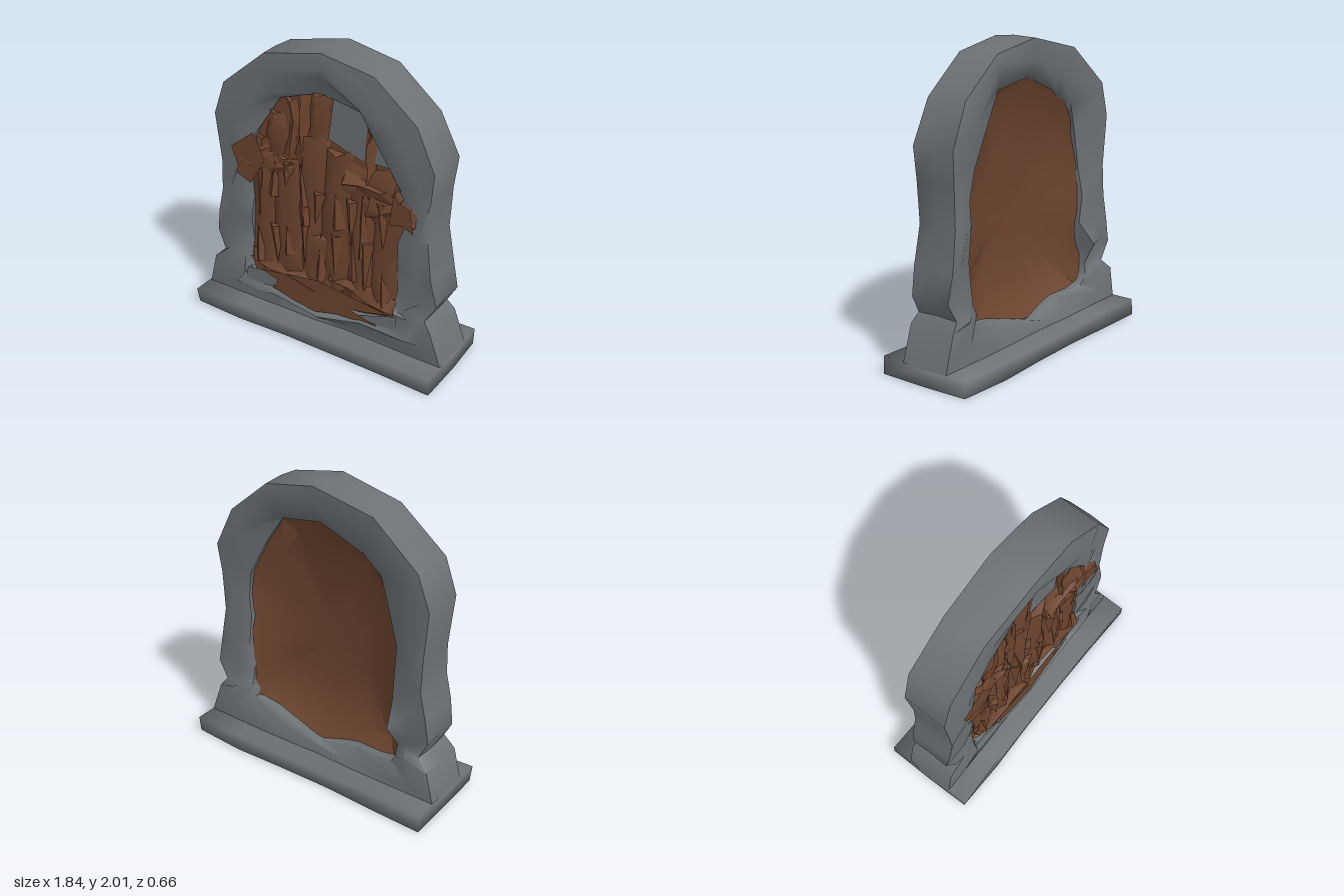
import * as THREE from 'three';
import { toCreasedNormals } from 'three/addons/utils/BufferGeometryUtils.js';

const stone = new THREE.MeshStandardMaterial({ color: 0x6c7174 });
stone.name = 'grey stone';
const wood = new THREE.MeshStandardMaterial({ color: 0x6c442e, side: THREE.DoubleSide });
wood.name = 'brown wood';

// repeatable noise in -1..1 from a position
function noise(x, y, z, seed) {
  const r = (v) => Math.round(v * 1000) / 1000 + 0;
  const s = Math.sin(r(x) * 127.1 + r(y) * 311.7 + r(z) * 74.7 + seed * 19.3) * 43758.5453;
  return (s - Math.floor(s)) * 2 - 1;
}

// push shared corners about by the same amounts, so surfaces stay closed
function roughen(geo, ax, ay, az, seed = 0) {
  const p = geo.attributes.position;
  for (let i = 0; i < p.count; i++) {
    const x = p.getX(i), y = p.getY(i), z = p.getZ(i);
    p.setXYZ(i, x + ax * noise(x, y, z, seed), y + ay * noise(x, y, z, seed + 1), z + az * noise(x, y, z, seed + 2));
  }
  return geo;
}

function addMesh(group, geo, mat, name, crease) {
  const mesh = new THREE.Mesh(toCreasedNormals(geo, crease), mat);
  mesh.name = name;
  group.add(mesh);
}

// grid of rings; rows[i][j] are points
function loft(rows, closed) {
  const n = rows.length, m = rows[0].length, index = [];
  for (let i = 0; i < (closed ? n : n - 1); i++) {
    for (let j = 0; j < (closed ? m : m - 1); j++) {
      const i2 = (i + 1) % n, j2 = (j + 1) % m;
      const a = i * m + j, b = i2 * m + j, c = i2 * m + j2, d = i * m + j2;
      index.push(a, d, c, a, c, b);
    }
  }
  const geo = new THREE.BufferGeometry();
  geo.setAttribute('position', new THREE.Float32BufferAttribute(rows.flat(2), 3));
  geo.setIndex(index);
  return geo;
}

// arch outline, clockwise from bottom left: outer x, y, inner x, y
const ARCH = [
  [-0.91, 0.11, -0.56, 0.27], [-0.86, 0.33, -0.57, 0.34], [-0.78, 0.4, -0.58, 0.42],
  [-0.85, 0.53, -0.57, 0.55], [-0.82, 0.7, -0.55, 0.72], [-0.78, 0.87, -0.54, 0.88],
  [-0.78, 1.08, -0.55, 1.08], [-0.81, 1.42, -0.5, 1.34], [-0.73, 1.65, -0.41, 1.5],
  [-0.41, 1.91, -0.32, 1.63], [0.02, 2.0, 0, 1.74], [0.38, 1.93, 0.31, 1.69],
  [0.67, 1.69, 0.42, 1.5], [0.8, 1.42, 0.57, 1.24], [0.78, 1.22, 0.59, 1.1],
  [0.77, 0.95, 0.58, 0.92], [0.81, 0.7, 0.57, 0.7], [0.85, 0.52, 0.56, 0.53],
  [0.78, 0.4, 0.56, 0.42], [0.83, 0.34, 0.55, 0.36], [0.91, 0.11, 0.53, 0.31],
  [0.35, 0.1, 0.3, 0.26], [0, 0.1, 0, 0.2], [-0.35, 0.1, -0.3, 0.25],
];
// arch section: share of the way from outer to inner edge, z, roughness
const SECTION = [
  [0, 0.145, 0], [0.4, 0.155, 1], [0.75, 0.15, 1], [1, 0.125, 0.3],
  [1.03, 0.02, 0.5], [0.95, -0.1, 0.5], [0.5, -0.145, 1], [0, -0.145, 0], [0, 0, 0.2],
];

function archGeometry() {
  return loft(ARCH.map(([ox, oy, ix, iy], i) => SECTION.map(([t, z, rough], j) => {
    const flare = oy < 0.35 ? 1.15 : 1;
    const spike = i === 3 && j === 5 ? -0.09 : 0;
    return [
      ox + (ix - ox) * t + 0.05 * rough * noise(i, j, 0, 1),
      oy + (iy - oy) * t + 0.05 * rough * noise(i, j, 0, 2),
      z * flare + (0.01 + 0.014 * rough) * noise(i, j, 0, 3) + spike,
    ];
  })), true);
}

// hollow wooden back, dished towards the front, with a ridge down its upper half
function backGeometry() {
  const rings = [[1.03, -0.08], [0.86, 0.01], [0.48, 0.065], [0.001, 0.07]];
  return loft(rings.map(([k, z], r) => [...ARCH, ARCH[0]].map(([, , x, y], i) => {
    const fold = r === 1 || r === 2 ? 0.015 * noise(Math.floor((i % ARCH.length) / 3), r, 0, 8) : 0;
    const ridge = i === 10 && r > 0 && r < 3 ? -0.04 : 0;
    return [x * k, 0.9 + (y - 0.9) * k, z + fold + ridge];
  })), false);
}

function plate(points, z) {
  const shape = new THREE.Shape(points.map(([x, y]) => new THREE.Vector2(x, y)));
  return new THREE.ShapeGeometry(shape).translate(0, 0, z);
}

// warped plank with a raised ridge along its middle
function plank(x0, x1, y0, y1, front, seed, tilt = 0) {
  const w = x1 - x0, h = y1 - y0, across = w > h;
  const geo = new THREE.BoxGeometry(w, h, 0.06, across ? 3 : 2, across ? 2 : 4, 1);
  const p = geo.attributes.position;
  for (let i = 0; i < p.count; i++) {
    const edge = across ? Math.abs(p.getY(i)) / (h / 2) : Math.abs(p.getX(i)) / (w / 2);
    if (p.getZ(i) > 0) p.setZ(i, 0.03 - 0.045 * edge);
  }
  roughen(geo, 0.03, 0.035, 0.014, seed);
  geo.rotateZ(tilt);
  return geo.translate((x0 + x1) / 2, (y0 + y1) / 2, front - 0.035);
}

export function createModel() {
  const model = new THREE.Group();
  model.name = 'stoneArchDoor';

  // base slab
  const slab = roughen(new THREE.BoxGeometry(1.83, 0.105, 0.635, 5, 1, 2), 0.008, 0.006, 0.012, 4);
  addMesh(model, slab.translate(0, 0.059, 0), stone, 'baseSlab', 1.75);

  // stone arch with sill
  addMesh(model, archGeometry(), stone, 'stoneArch', 1.0);

  // door: dished rear, flat backing and planks
  const door = new THREE.Group();
  door.name = 'door';
  model.add(door);
  addMesh(door, backGeometry(), wood, 'doorBack', 0.6);
  const panel = plate(ARCH.map(([, , x, y]) => [x * 1.03, 0.9 + (y - 0.9) * 1.03]), 0.105);
  addMesh(door, panel, wood, 'doorPanel', 0.5);

  const planks = [
    [-0.54, -0.35, 0.36, 1.12], [-0.38, -0.14, 0.32, 1.25], [-0.18, 0.03, 0.4, 1.42],
    [0, 0.21, 0.4, 1.38], [0.18, 0.37, 0.38, 1.22], [0.35, 0.58, 0.38, 1.1],
    [-0.43, -0.24, 1.18, 1.52], [-0.3, -0.16, 1.15, 1.65], [-0.19, -0.09, 1.15, 1.7],
    [-0.11, 0.05, 1.3, 1.72], [0.32, 0.38, 1.2, 1.56], [-0.55, -0.38, 1.15, 1.34],
    [0.18, 0.52, 1.1, 1.32], [-0.14, 0.13, 0.27, 0.74],
  ];
  planks.forEach(([a, b, c, d], i) => {
    addMesh(door, plank(a, b, c, d, c > 1.1 ? 0.148 : 0.163, i * 5), wood, 'plank', 1.1);
  });

  // crossbars and lower splinters
  const bars = [
    [-0.65, -0.2, 1.08, 1.23, 0.06], [0.2, 0.58, 1.13, 1.24, -0.06], [0.36, 0.68, 1.01, 1.18, -0.1],
    [-0.55, -0.05, 0.34, 0.45, -0.18], [0.05, 0.55, 0.37, 0.48, -0.2],
  ];
  bars.forEach(([a, b, c, d, tilt], i) => addMesh(door, plank(a, b, c, d, 0.178, 90 + i * 5, tilt), wood, 'crossbar', 1.1));

  // splinters standing out of the planks
  for (let i = 0; i < 18; i++) {
    const geo = new THREE.ConeGeometry(0.06, 0.34 + 0.12 * noise(i, 1, 0, 20), 3);
    geo.scale(1, 1, 0.5).rotateZ((i % 2) * Math.PI + 0.12 * noise(i, 2, 0, 20));
    const x = -0.46 + 0.115 * (i % 9) + 0.03 * noise(i, 3, 0, 20);
    const y = (i < 9 ? 0.65 : 1.0) + 0.1 * noise(i, 4, 0, 20);
    addMesh(door, geo.translate(x, y, 0.148), wood, 'splinter', 0.5);
  }

  // wooden ends spreading over the arch
  const ends = [
    [[-0.67, 1.23], [-0.62, 1.1], [-0.64, 1.05], [-0.52, 1.0], [-0.4, 1.2], [-0.49, 1.37]],
    [[0.52, 1.02], [0.62, 1.04], [0.69, 1.0], [0.66, 1.16], [0.58, 1.19], [0.55, 1.25]],
  ];
  ends.forEach((pts) => addMesh(door, plate(pts, 0.176), wood, 'doorEnd', 0.5));

  // pointed wooden foot over the sill
  const foot = plate([
    [-0.37, 0.25], [-0.2, 0.21], [-0.02, 0.19], [0.15, 0.23], [0.47, 0.24],
    [0.25, 0.3], [0.54, 0.36], [0, 0.44], [-0.46, 0.36], [-0.32, 0.32],
  ], 0);
  const fp = foot.attributes.position;
  for (let i = 0; i < fp.count; i++) fp.setZ(i, 0.186 - Math.abs(fp.getX(i)) * 0.03);
  addMesh(door, foot, wood, 'doorFoot', 0.8);

  // stone shards in the lower corners
  const shards = [
    [[-0.6, 0.22], [-0.36, 0.25], [-0.33, 0.32], [-0.46, 0.35], [-0.59, 0.33]],
    [[0.3, 0.27], [0.5, 0.23], [0.59, 0.28], [0.58, 0.36], [0.53, 0.35]],
  ];
  shards.forEach((pts) => addMesh(model, plate(pts, 0.165), stone, 'stoneShard', 0.5));

  // broken spots showing stone
  const gaps = [
    [[0.08, 1.72], [0.04, 1.44], [0.3, 1.35], [0.33, 1.7]],
    [[0.39, 1.58], [0.37, 1.36], [0.52, 1.36], [0.58, 1.26]],
  ];
  gaps.forEach((pts) => addMesh(model, plate(pts, 0.112), stone, 'stonePatch', 0.5));

  return model;
}
